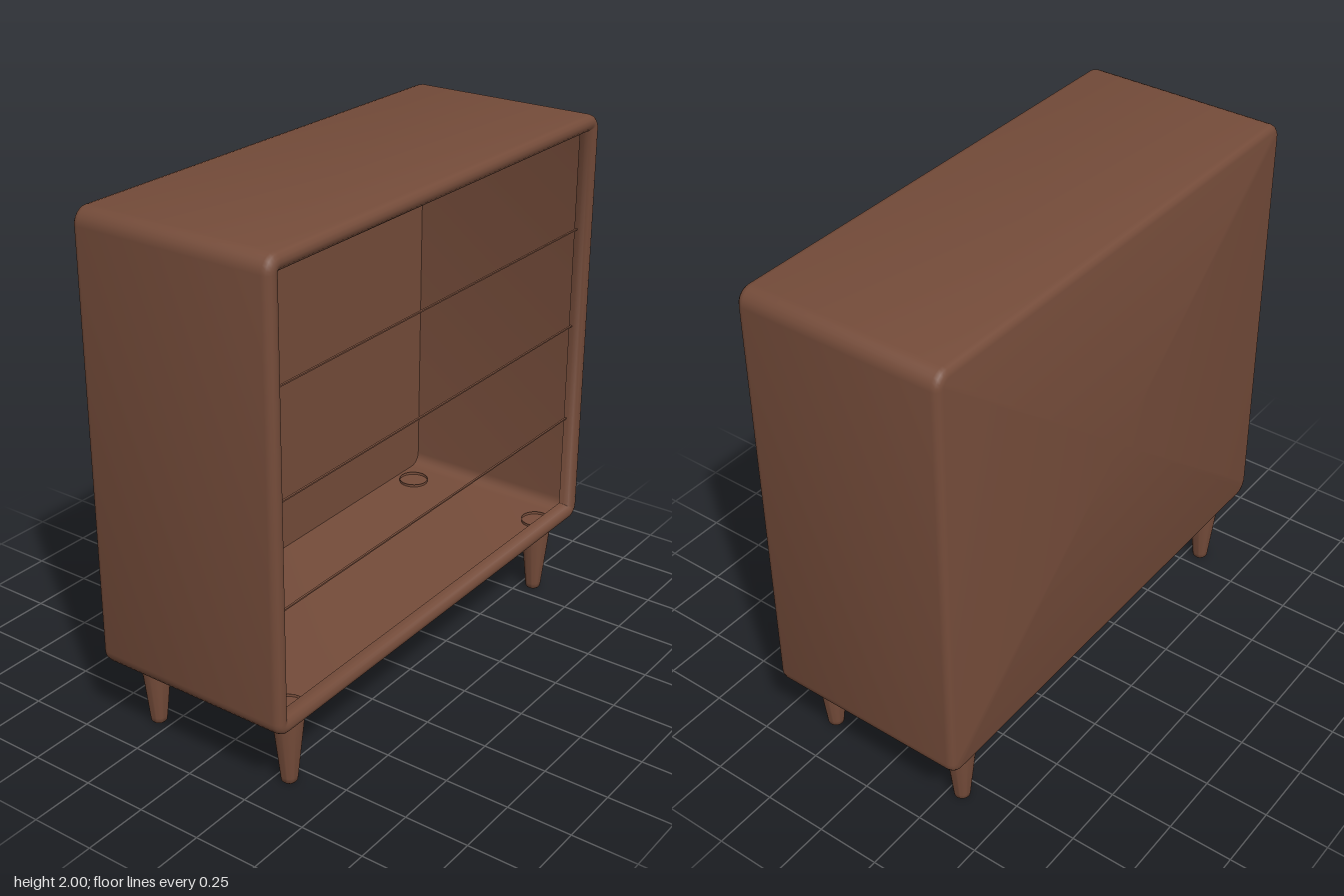
import * as THREE from 'three';
import { toCreasedNormals } from 'three/addons/utils/BufferGeometryUtils.js';

const HALF_W = 0.99, Y0 = 0.295, Y1 = 2.0, CORNER = 0.06, STEPS = 6;

// Rounded rectangle in the xy plane, shrunk by inset, counter-clockwise
function outline(inset, z) {
  const r = Math.max(CORNER - inset, 0.003);
  const cx = HALF_W - inset - r, mid = (Y0 + Y1) / 2, cy = (Y1 - Y0) / 2 - inset - r;
  const points = [];
  [[1, 1], [-1, 1], [-1, -1], [1, -1]].forEach(([sx, sy], q) => {
    for (let i = 0; i <= STEPS; i++) {
      const a = (q + i / STEPS) * Math.PI / 2;
      points.push([sx * cx + r * Math.cos(a), mid + sy * cy + r * Math.sin(a), z]);
    }
  });
  return points;
}

// Hollow carcass: rings run from the back, over the front lip, to the inner back
function carcassGeometry() {
  const profile = [
    [0.028, -0.403], [0.013, -0.399], [0.004, -0.39], [0, -0.375],
    [0, 0.372], [0.004, 0.388], [0.015, 0.399], [0.03, 0.403],
    [0.047, 0.399], [0.059, 0.388], [0.064, 0.372], [0.064, 0.35],
    [0.012, 0.345], [0.012, -0.39],
  ];
  const rings = profile.map(([inset, z]) => outline(inset, z));
  const n = rings[0].length;
  const positions = rings.flat(2);
  const index = [];
  for (let k = 0; k < rings.length - 1; k++) {
    for (let i = 0; i < n; i++) {
      const j = (i + 1) % n;
      const a = k * n + i, b = k * n + j, c = a + n, d = b + n;
      index.push(a, b, d, a, d, c);
    }
  }
  // Outer and inner faces of the back panel
  const mid = (Y0 + Y1) / 2, back = rings.length * n, inner = back + 1, last = (rings.length - 1) * n;
  positions.push(0, mid, -0.403, 0, mid, -0.39);
  for (let i = 0; i < n; i++) {
    const j = (i + 1) % n;
    index.push(back, j, i, inner, last + i, last + j);
  }
  const geometry = new THREE.BufferGeometry();
  geometry.setAttribute('position', new THREE.Float32BufferAttribute(positions, 3));
  geometry.setIndex(index);
  return toCreasedNormals(geometry, 0.7);
}

export function createModel() {
  const model = new THREE.Group();
  model.name = 'openCabinet';
  const wood = new THREE.MeshStandardMaterial({ color: 0x754c3a, side: THREE.DoubleSide });
  wood.name = 'walnutBrown';

  const add = (name, geometry, x = 0, y = 0, z = 0) => {
    const mesh = new THREE.Mesh(geometry, wood);
    mesh.name = name;
    mesh.position.set(x, y, z);
    model.add(mesh);
  };

  add('carcass', carcassGeometry());

  // Hairline rails dividing the front opening into four
  const rail = new THREE.BoxGeometry(1.85, 0.005, 0.008);
  [0.75, 1.15, 1.55].forEach((y, i) => add(`dividerRail${i + 1}`, rail, 0, y, 0.36));

  // Tapered legs, open at the top where they pass through the floor
  const legProfile = [[0, 0], [0.024, 0], [0.03, 0.007], [0.032, 0.025], [0.058, 0.27], [0.06, 0.318]]
    .map(([r, y]) => new THREE.Vector2(r, y));
  const leg = toCreasedNormals(new THREE.LatheGeometry(legProfile, 28), 0.8);
  for (const [side, x] of [['Left', 0.82], ['Right', -0.82]]) {
    for (const [end, z] of [['front', 0.305], ['back', -0.305]]) add(`${end}${side}Leg`, leg, x, 0, z);
  }
  return model;
}
